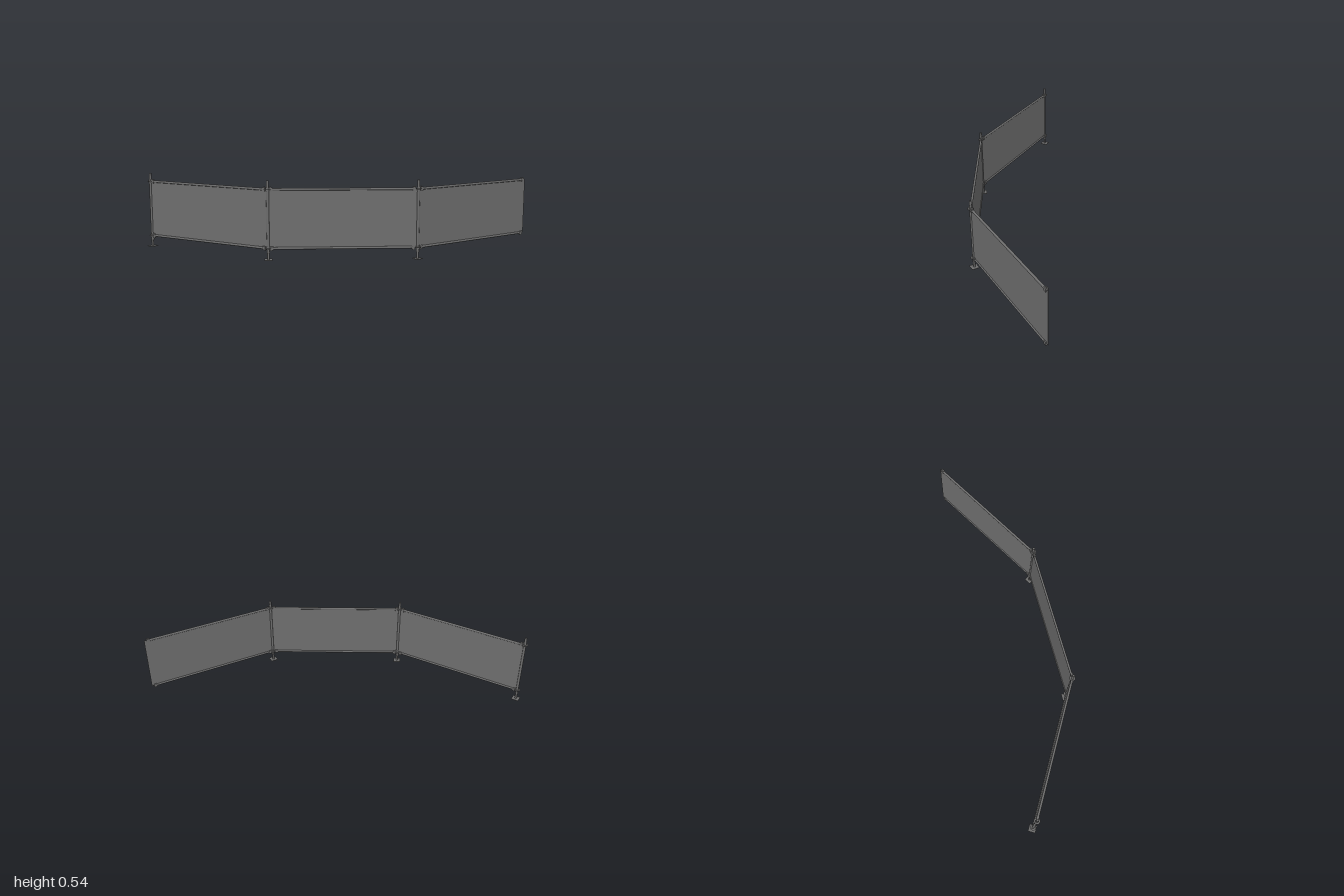
import * as THREE from 'three';

const BAY = 1.015;
const RAIL_Y = [0.081, 0.483];
// start of each bay and its heading, turning 30 degrees at every post
const BAYS = [
  { x: -0.963, z: -0.964, deg: 75 },
  { x: -0.7, z: 0.017, deg: 45 },
  { x: 0.018, z: 0.735, deg: 15 },
];

export function createModel() {
  const model = new THREE.Group();
  const metal = new THREE.MeshStandardMaterial({ color: 0x6c6c6c });
  const cloth = new THREE.MeshStandardMaterial({ color: 0x6e6e6e, side: THREE.DoubleSide });

  const add = (parent, name, geometry, x, y, z, material = metal) => {
    const mesh = new THREE.Mesh(geometry, material);
    mesh.name = name;
    mesh.position.set(x, y, z);
    parent.add(mesh);
    return mesh;
  };
  const tube = (r, h, sides = 16) => new THREE.CylinderGeometry(r, r, h, sides);

  // upright with jack base, collars and rosettes
  function makePost() {
    const post = new THREE.Group();
    post.name = 'post';
    add(post, 'basePlate', new THREE.BoxGeometry(0.054, 0.004, 0.054), 0, 0.002, 0);
    add(post, 'jackScrew', tube(0.008, 0.06), 0, 0.032, 0);
    add(post, 'jackNut', tube(0.012, 0.008, 6), 0, 0.054, 0);
    add(post, 'upright', tube(0.0095, 0.455), 0, 0.2835, 0);
    add(post, 'spigot', tube(0.0088, 0.034), 0, 0.526, 0);
    for (const y of RAIL_Y) {
      add(post, 'rosette', tube(0.022, 0.004), 0, y, 0);
      add(post, 'collar', tube(0.012, 0.022), 0, y, 0);
    }
    return post;
  }

  // wedge head that clamps a rail to the rosette; side is the rail direction
  function addRailHead(parent, x, y, side) {
    add(parent, 'railHead', new THREE.BoxGeometry(0.022, 0.026, 0.018), x + side * 0.011, y, 0);
    add(parent, 'wedge', new THREE.BoxGeometry(0.009, 0.036, 0.004), x + side * 0.007, y, 0);
  }

  // two rails with a thin sheet stretched between them
  function makeBay() {
    const bay = new THREE.Group();
    bay.name = 'bay';
    const x0 = 0.012, x1 = BAY - 0.018;
    for (const y of RAIL_Y) {
      const rail = add(bay, 'rail', tube(0.0085, x1 - x0 - 0.03), (x0 + x1) / 2, y, 0);
      rail.rotation.z = Math.PI / 2;
      addRailHead(bay, x0, y, 1);
      addRailHead(bay, x1, y, -1);
    }
    add(bay, 'sheet', new THREE.BoxGeometry(BAY - 0.004, 0.406, 0.003), BAY / 2, 0.2835, 0, cloth);
    return bay;
  }

  for (const { x, z, deg } of BAYS) {
    const section = new THREE.Group();
    section.name = 'fenceSection';
    section.position.set(x, 0, z);
    section.rotation.y = -THREE.MathUtils.degToRad(deg);
    section.add(makePost(), makeBay());
    model.add(section);
  }
  return model;
}
